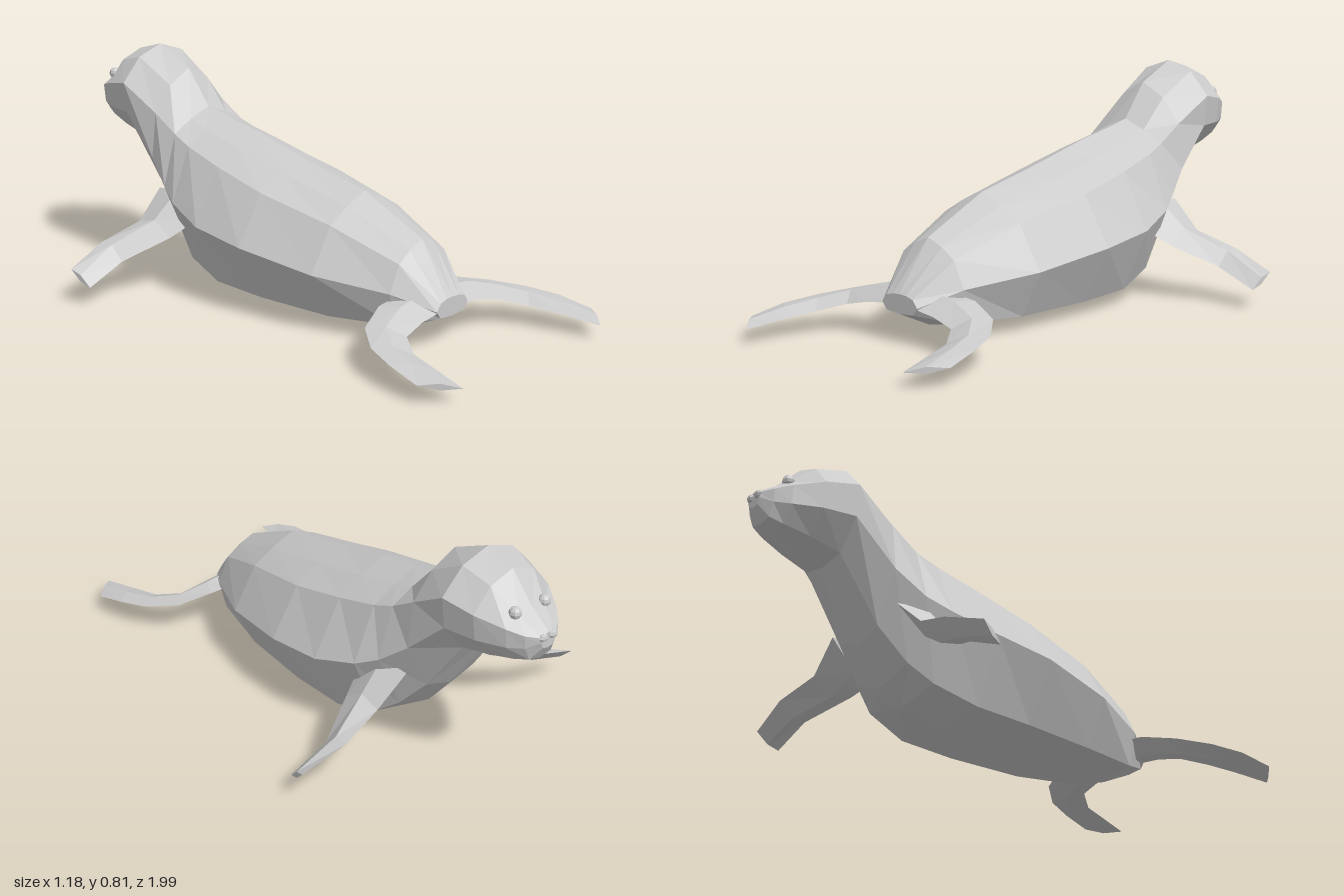
import * as THREE from 'three';

const material = new THREE.MeshStandardMaterial({ color: 0xcccccc, flatShading: true });

// Skin a list of rings (each a loop of [x, y, z]) and close both ends.
// Rings run counter-clockwise as seen from the last ring's end.
function loft(rings) {
  const n = rings[0].length;
  const last = (rings.length - 1) * n;
  const index = [];
  for (let i = 0; i < last; i += n) {
    for (let j = 0; j < n; j++) {
      const k = (j + 1) % n;
      index.push(i + j, i + k, i + n + k, i + j, i + n + k, i + n + j);
    }
  }
  for (let j = 1; j < n - 1; j++) {
    index.push(0, j + 1, j, last, last + j, last + j + 1);
  }
  const geometry = new THREE.BufferGeometry();
  geometry.setAttribute('position', new THREE.Float32BufferAttribute(rings.flat(2), 3));
  geometry.setIndex(index);
  geometry.computeVertexNormals();
  return geometry;
}

// Half outline of the body: top, brow, upper ridge, side ridge, lower ridge, bottom
function bodyRing([z, top, ux, uy, sx, sy, lx, ly, bottom, bulge]) {
  const half = [[ux / 2 + bulge / 2, (top + uy) / 2 + bulge], [ux, uy], [sx, sy], [lx, ly]];
  const mirrored = half.map(([x, y]) => [-x, y]).reverse();
  return [[0, top], ...half, [0, bottom], ...mirrored].map(([x, y]) => [x, y, z]);
}

// Flipper section: leading edge, top, trailing edge, underside
function flipperRing([lx, ly, lz, tx, ty, tz, thick], side) {
  const m = [(lx + tx) / 2, (ly + ty) / 2, (lz + tz) / 2];
  const ring = [
    [lx, ly, lz], [m[0], m[1] + thick, m[2]],
    [tx, ty, tz], [m[0], m[1] - thick, m[2]],
  ].map(([x, y, z]) => [x * side, y, z]);
  return side < 0 ? ring.reverse() : ring;
}

// Sections from the tail to the shoulders
const TORSO = [
  [0.67, 0.165, 0.06, 0.155, 0.08, 0.13, 0.06, 0.105, 0.1, 0.003],
  [0.54, 0.33, 0.115, 0.27, 0.16, 0.18, 0.13, 0.065, 0.04, 0.006],
  [0.29, 0.445, 0.17, 0.36, 0.26, 0.21, 0.18, 0.05, 0.015, 0.006],
  [0, 0.51, 0.2, 0.42, 0.305, 0.25, 0.2, 0.05, 0, 0.006],
  [-0.22, 0.565, 0.19, 0.47, 0.295, 0.275, 0.195, 0.055, 0.025, 0.006],
  [-0.38, 0.597, 0.175, 0.51, 0.255, 0.32, 0.165, 0.1, 0.07, 0.005],
  [-0.46, 0.615, 0.165, 0.54, 0.22, 0.36, 0.13, 0.16, 0.12, 0.005],
];

// Sections from the neck to the muzzle
const HEAD = [
  [-0.56, 0.74, 0.165, 0.6, 0.185, 0.44, 0.1, 0.27, 0.24, 0.02],
  [-0.71, 0.81, 0.182, 0.69, 0.17, 0.58, 0.09, 0.48, 0.465, 0.025],
  [-0.82, 0.78, 0.155, 0.67, 0.145, 0.58, 0.08, 0.505, 0.49, 0.022],
  [-0.91, 0.685, 0.105, 0.645, 0.1, 0.58, 0.06, 0.525, 0.515, 0.008],
  [-0.955, 0.655, 0.07, 0.63, 0.065, 0.585, 0.045, 0.54, 0.53, 0.004],
  [-0.985, 0.635, 0.03, 0.622, 0.03, 0.605, 0.02, 0.585, 0.58, 0.002],
];

// Leading edge xyz, trailing edge xyz, half thickness; root to tip
const FORE_FLIPPER = [
  [0.17, 0.33, -0.54, 0.2, 0.25, -0.33, 0.05],
  [0.28, 0.23, -0.53, 0.28, 0.2, -0.37, 0.035],
  [0.43, 0.18, -0.56, 0.43, 0.13, -0.455, 0.025],
  [0.588, 0.122, -0.54, 0.572, 0.068, -0.46, 0.012],
];
const HIND_FLIPPER = [
  [0.06, 0.16, 0.52, 0.03, 0.13, 0.668, 0.03],
  [0.2, 0.15, 0.53, 0.15, 0.115, 0.668, 0.025],
  [0.32, 0.12, 0.575, 0.24, 0.095, 0.68, 0.02],
  [0.4, 0.1, 0.67, 0.3, 0.075, 0.76, 0.016],
  [0.44, 0.085, 0.78, 0.33, 0.065, 0.87, 0.013],
  [0.457, 0.06, 0.9, 0.362, 0.05, 1, 0.011],
];

export function createModel() {
  const group = new THREE.Group();
  const add = (name, geometry) => {
    const mesh = new THREE.Mesh(geometry, material);
    mesh.name = name;
    group.add(mesh);
    return mesh;
  };

  add('body', loft([...TORSO, ...HEAD].map(bodyRing)));

  for (const side of [1, -1]) {
    add('foreFlipper', loft(FORE_FLIPPER.map((s) => flipperRing(s, side))));
    add('hindFlipper', loft(HIND_FLIPPER.map((s) => flipperRing(s, side))));

    // Eyes and nostril pads
    add('eye', new THREE.SphereGeometry(0.021, 8, 6)).position.set(0.06 * side, 0.682, -0.9);
    const pad = add('nosePad', new THREE.SphereGeometry(0.014, 6, 4));
    pad.position.set(0.02 * side, 0.62, -0.985);
    pad.scale.set(1.3, 1, 0.7);
  }
  return group;
}
